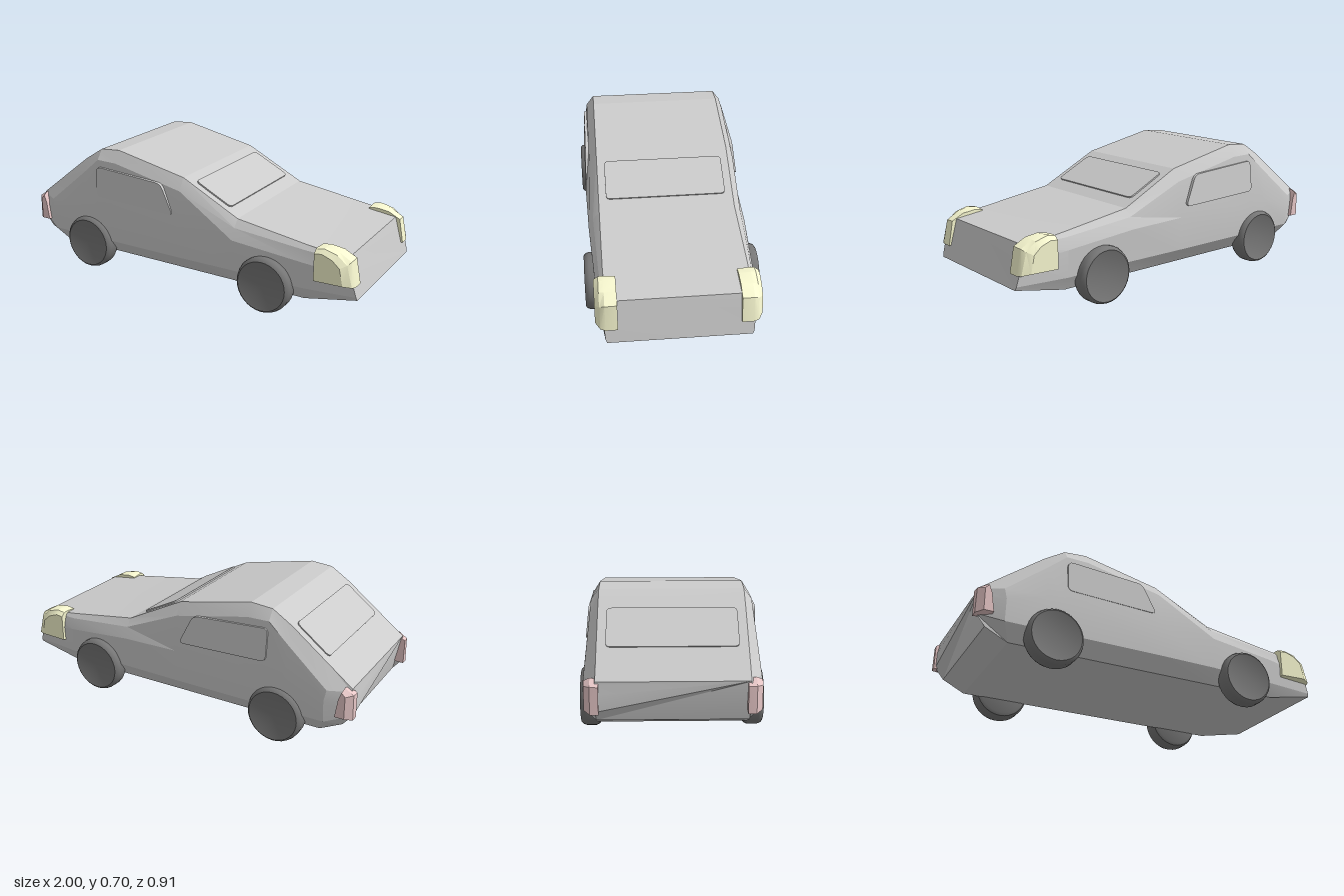
import * as THREE from 'three';
import { toCreasedNormals } from 'three/addons/utils/BufferGeometryUtils.js';

const paint = (color) => new THREE.MeshStandardMaterial({ color });
const grey = paint(0xcccccc), dark = paint(0x777777), yellow = paint(0xf8f8d0), pink = paint(0xe8c8c8);

// Skin a run of closed rings ([x, y, z] points), cap both ends and face it outward
function loft(rings, crease = 0.3) {
  const n = rings[0].length, pts = rings.flat().map((p) => new THREE.Vector3(...p));
  let index = [];
  for (let i = 0; i < rings.length - 1; i++) {
    for (let j = 0; j < n; j++) {
      const a = i * n + j, b = i * n + (j + 1) % n;
      index.push(a, b, b + n, a, b + n, a + n);
    }
  }
  const last = (rings.length - 1) * n;
  for (let j = 1; j < n - 1; j++) {
    index.push(0, j + 1, j, last, last + j, last + j + 1);
  }
  let volume = 0;
  for (let i = 0; i < index.length; i += 3) {
    volume += pts[index[i]].dot(pts[index[i + 1]].clone().cross(pts[index[i + 2]]));
  }
  if (volume < 0) index = index.reverse();
  const geo = new THREE.BufferGeometry().setFromPoints(pts);
  geo.setIndex(index);
  return toCreasedNormals(geo, crease);
}

// Polygon with small rounded corners
function roundedShape(points, r) {
  const p = points.map((q) => new THREE.Vector2(...q)), s = new THREE.Shape();
  p.forEach((c, i) => {
    const prev = p[(i + p.length - 1) % p.length], next = p[(i + 1) % p.length];
    const a = c.clone().add(prev.clone().sub(c).setLength(r));
    const b = c.clone().add(next.clone().sub(c).setLength(r));
    if (i === 0) s.moveTo(a.x, a.y); else s.lineTo(a.x, a.y);
    s.quadraticCurveTo(c.x, c.y, b.x, b.y);
  });
  s.closePath();
  return s;
}

const extrude = (shape, depth) =>
  new THREE.ExtrudeGeometry(shape, { depth, bevelEnabled: false, curveSegments: 4 });

// Glass across the car, from its lower edge to its upper edge ([x, y])
function crossGlass(low, high, halfWidth, depth) {
  const v = new THREE.Vector3(high[0] - low[0], high[1] - low[1], 0), len = v.length();
  v.normalize();
  const u = new THREE.Vector3(0, 0, v.x > 0 ? 1 : -1), n = u.clone().cross(v);
  const w = halfWidth;
  const geo = extrude(roundedShape([[-w, 0], [w, 0], [w, len], [-w, len]], 0.025), depth);
  geo.applyMatrix4(new THREE.Matrix4().makeBasis(u, v, n).setPosition(low[0], low[1], 0));
  return geo;
}

export function createModel() {
  const car = new THREE.Group();
  car.name = 'car';
  const add = (name, geo, mat) => {
    const mesh = new THREE.Mesh(geo, mat);
    mesh.name = name;
    car.add(mesh);
    return mesh;
  };

  // Body half-sections from tail to nose: roof edge, shoulder, belt, sill, floor edge
  const sections = [
    [[-0.98, 0.365, 0.36], [-0.98, 0.35, 0.365], [-0.99, 0.3, 0.365], [-0.99, 0.22, 0.36], [-0.94, 0.16, 0.36]],
    [[-0.86, 0.458, 0.36], [-0.87, 0.355, 0.42], [-0.86, 0.3, 0.428], [-0.86, 0.18, 0.42], [-0.82, 0.1, 0.36]],
    [[-0.65, 0.62, 0.36], [-0.65, 0.54, 0.407], [-0.65, 0.36, 0.43], [-0.65, 0.18, 0.42], [-0.65, 0.1, 0.36]],
    [[-0.54, 0.69, 0.36], [-0.54, 0.637, 0.4], [-0.54, 0.36, 0.43], [-0.54, 0.18, 0.42], [-0.54, 0.1, 0.36]],
    [[-0.42, 0.7, 0.36], [-0.42, 0.635, 0.4], [-0.42, 0.36, 0.43], [-0.42, 0.18, 0.42], [-0.42, 0.1, 0.36]],
    [[0, 0.615, 0.36], [0, 0.55, 0.4], [0, 0.36, 0.428], [0, 0.18, 0.418], [0, 0.1, 0.36]],
    [[0.33, 0.45, 0.36], [0.33, 0.41, 0.395], [0.33, 0.35, 0.42], [0.33, 0.18, 0.412], [0.33, 0.1, 0.36]],
    [[0.72, 0.393, 0.36], [0.72, 0.37, 0.38], [0.72, 0.31, 0.4], [0.72, 0.17, 0.395], [0.72, 0.1, 0.36]],
    [[0.94, 0.365, 0.355], [0.945, 0.35, 0.36], [0.965, 0.28, 0.37], [0.995, 0.172, 0.362], [1, 0.155, 0.355]],
  ];
  const mirror = (half) => [...half, ...half.map(([x, y, z]) => [x, y, -z]).reverse()];
  add('body', loft(sections.map(mirror), 0.22), grey);

  // Windscreen and rear window
  add('windscreen', crossGlass([0.26, 0.48], [0.05, 0.585], 0.32, 0.012), grey);
  add('rearWindow', crossGlass([-0.83, 0.481], [-0.65, 0.62], 0.317, 0.006), grey);

  // Light clusters as side profiles ([x, y]) stepping outward in z
  const headlight = [
    [0.3, [[0.785, 0.225], [0.785, 0.39], [0.83, 0.397], [0.9, 0.388], [0.965, 0.355], [0.99, 0.225]]],
    [0.36, [[0.785, 0.225], [0.785, 0.395], [0.83, 0.402], [0.9, 0.388], [0.963, 0.352], [0.99, 0.225]]],
    [0.385, [[0.785, 0.225], [0.785, 0.393], [0.83, 0.4], [0.895, 0.383], [0.95, 0.34], [0.98, 0.228]]],
    [0.408, [[0.785, 0.23], [0.785, 0.375], [0.825, 0.38], [0.88, 0.36], [0.92, 0.325], [0.94, 0.235]]],
  ];
  const tailLight = [
    [0.345, [[-0.92, 0.215], [-0.93, 0.32], [-0.955, 0.37], [-1, 0.345], [-1, 0.21]]],
    [0.385, [[-0.915, 0.215], [-0.93, 0.33], [-0.95, 0.375], [-0.997, 0.345], [-1, 0.21]]],
    [0.415, [[-0.915, 0.22], [-0.93, 0.32], [-0.945, 0.36], [-0.965, 0.34], [-0.965, 0.22]]],
  ];
  const cluster = (rows, side) =>
    loft(rows.map(([z, profile]) => profile.map(([x, y]) => [x, y, z * side])), 0.4);

  // Tyre profile (radius, width), closed on both faces
  const tyre = [[0, -0.05], [0.125, -0.05], [0.141, -0.042], [0.15, -0.025], [0.15, 0.025],
    [0.144, 0.042], [0.134, 0.05], [0.128, 0.047], [0, 0.047]].map((p) => new THREE.Vector2(...p));
  const wheelGeo = toCreasedNormals(new THREE.LatheGeometry(tyre, 32), 0.6);

  const windowOutline = [[-0.54, 0.43], [-0.03, 0.415], [-0.11, 0.577], [-0.54, 0.602]];
  for (const side of [1, -1]) {
    const label = side > 0 ? 'left' : 'right';
    add(label + 'Headlight', cluster(headlight, side), yellow);
    add(label + 'TailLight', cluster(tailLight, side), pink);

    // Side window leaning with the cabin wall
    const pane = extrude(roundedShape(windowOutline, 0.03), 0.02);
    const pos = pane.attributes.position;
    for (let i = 0; i < pos.count; i++) {
      const lean = 0.393 + (0.6 - pos.getY(i)) * (side > 0 ? 0.04 : 0.11);
      pos.setZ(i, side > 0 ? lean + 0.005 + pos.getZ(i) : -lean - 0.02 + pos.getZ(i));
    }
    pane.computeVertexNormals();
    add(label + 'SideWindow', pane, grey);

    for (const [end, x] of [['Front', 0.52], ['Rear', -0.6]]) {
      const wheel = add(label + end + 'Wheel', wheelGeo, dark);
      wheel.position.set(x, 0.15, side * 0.403);
      wheel.rotation.x = side * Math.PI / 2;
    }
  }
  return car;
}
